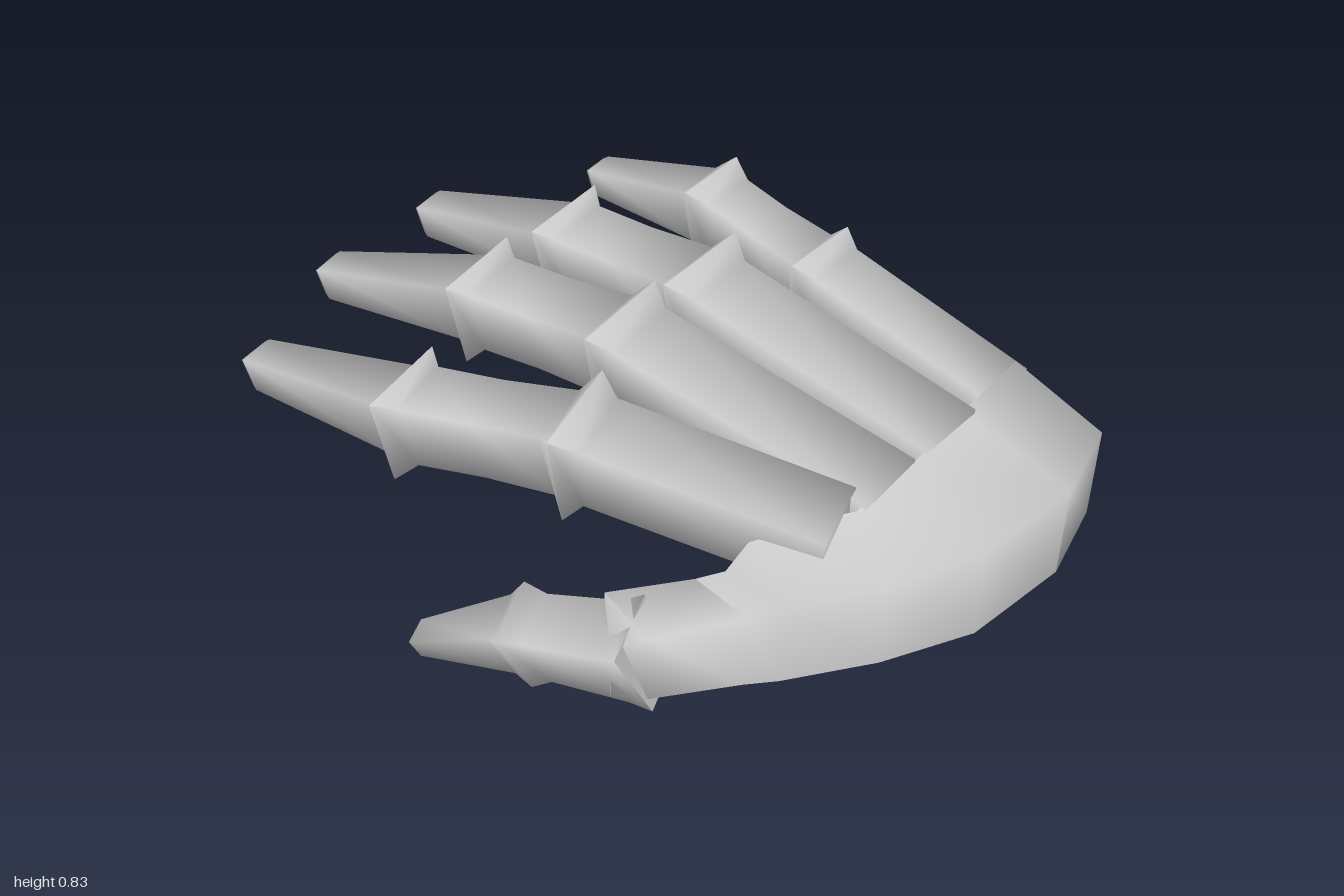
import * as THREE from 'three';
import { toCreasedNormals } from 'three/addons/utils/BufferGeometryUtils.js';

const material = new THREE.MeshStandardMaterial({ color: 0xcccccc, side: THREE.DoubleSide });

// Skin a list of four-cornered rings and cap both ends
function skin(name, rings) {
  const index = [];
  const n = rings.length;
  for (let i = 0; i < n - 1; i++) {
    for (let j = 0; j < 4; j++) {
      const a = i * 4 + j, b = i * 4 + (j + 1) % 4;
      index.push(a, b, b + 4, a, b + 4, a + 4);
    }
  }
  const e = (n - 1) * 4;
  index.push(0, 2, 1, 0, 3, 2, e, e + 1, e + 2, e, e + 2, e + 3);
  const geometry = new THREE.BufferGeometry();
  geometry.setAttribute('position', new THREE.Float32BufferAttribute(rings.flat().flatMap(p => p.toArray()), 3));
  geometry.setIndex(index);
  const mesh = new THREE.Mesh(toCreasedNormals(geometry, 1.7), material);
  mesh.name = name;
  return mesh;
}

// Rectangular ring square to direction t, rolled about it
function ring(c, t, w, h, roll) {
  const side = new THREE.Vector3(0, -Math.sin(roll), Math.cos(roll));
  side.addScaledVector(t, -side.dot(t)).normalize();
  const up = new THREE.Vector3().crossVectors(t, side);
  return [[1, 1], [-1, 1], [-1, -1], [1, -1]].map(([s, u]) =>
    c.clone().addScaledVector(side, s * w / 2).addScaledVector(up, u * h / 2));
}

// Finger plate: three bones with a raised ridge at both knuckles
function finger(name, points, w, h, ridge, tip) {
  const [base, k1, k2, end] = points.map(p => new THREE.Vector3(...p));
  const dir = (a, b) => b.clone().sub(a).normalize();
  const d1 = dir(base, k1), d2 = dir(k1, k2), d3 = dir(k2, end);
  const rings = [];
  const add = (c, t, sw, sh) => rings.push(ring(c, t, sw, sh, 0.17));
  const knuckle = (c, a, b, before, peak, after) => {
    const t = a.clone().add(b);
    t.y *= 0.5;
    add(c.clone().addScaledVector(a, -0.045), a, w * before, h * before);
    add(c, t.normalize(), w + peak, h + peak);
    add(c.clone().addScaledVector(b, 0.035), b, w * after, h * after);
  };
  add(base, d1, w * 0.95, h * 0.95);
  knuckle(k1, d1, d2, 1, ridge, 0.95);
  add(k1.clone().lerp(k2, 0.5), d2, w * 0.9, h * 0.9);
  knuckle(k2, d2, d3, 0.93, ridge * 0.8, 0.86);
  add(end.clone().addScaledVector(d3, -0.015), d3, tip, tip);
  add(end, d3, tip * 0.85, tip * 0.85);
  return skin(name, rings);
}

export function createModel() {
  const group = new THREE.Group();
  group.name = 'gauntletHand';

  // Four fingers: base, first knuckle, second knuckle, tip
  group.add(
    finger('indexFinger', [[0.7, 0.54, 0.105], [0.13, 0.583, 0.285], [-0.325, 0.49, 0.385], [-0.875, 0.385, 0.43]], 0.175, 0.175, 0.065, 0.092),
    finger('middleFinger', [[0.72, 0.555, -0.035], [-0.005, 0.637, 0.008], [-0.46, 0.575, 0.028], [-0.988, 0.45, 0.105]], 0.18, 0.175, 0.06, 0.09),
    finger('ringFinger', [[0.72, 0.58, -0.24], [0.015, 0.67, -0.235], [-0.455, 0.605, -0.26], [-0.97, 0.505, -0.225]], 0.175, 0.175, 0.065, 0.09),
    finger('littleFinger', [[0.71, 0.59, -0.455], [0.155, 0.667, -0.488], [-0.2, 0.713, -0.508], [-0.615, 0.643, -0.512]], 0.145, 0.165, 0.045, 0.075)
  );

  // Palm band curving from the little finger to the thumb root:
  // outer x, z, inner x, z, then heights of outer top, inner top, inner bottom, outer bottom
  const palm = [
    [0.95, -0.47, 0.70, -0.50, 0.64, 0.69, 0.46, 0.42],
    [1.00, -0.28, 0.71, -0.29, 0.615, 0.665, 0.43, 0.395],
    [0.97, -0.03, 0.725, -0.10, 0.585, 0.64, 0.41, 0.365],
    [0.87, 0.16, 0.72, 0.08, 0.55, 0.615, 0.38, 0.345],
    [0.71, 0.285, 0.58, 0.225, 0.48, 0.565, 0.35, 0.27],
    [0.65, 0.33, 0.53, 0.26, 0.44, 0.45, 0.28, 0.25],
    [0.49, 0.455, 0.46, 0.275, 0.36, 0.395, 0.21, 0.185],
    [0.42, 0.495, 0.30, 0.39, 0.31, 0.33, 0.18, 0.17]
  ];
  group.add(skin('palm', palm.map(([ox, oz, ix, iz, ot, it, ib, ob]) => [
    new THREE.Vector3(ox, ot, oz), new THREE.Vector3(ix, it, iz),
    new THREE.Vector3(ix, ib, iz), new THREE.Vector3(ox, ob, oz)
  ])));

  // Thumb: x, y, z, width, height
  const thumbDir = new THREE.Vector3(-0.9, -0.35, 0.24).normalize();
  const thumb = [
    [0.45, 0.262, 0.408, 0.175, 0.185],
    [0.40, 0.245, 0.425, 0.155, 0.16],
    [0.20, 0.18, 0.465, 0.14, 0.14],
    [0.14, 0.158, 0.475, 0.165, 0.175],
    [0.10, 0.14, 0.485, 0.125, 0.13],
    [-0.13, 0.035, 0.57, 0.065, 0.055]
  ];
  group.add(skin('thumb', thumb.map(([x, y, z, w, h]) =>
    ring(new THREE.Vector3(x, y, z), thumbDir, w, h, 0.4))));

  return group;
}
